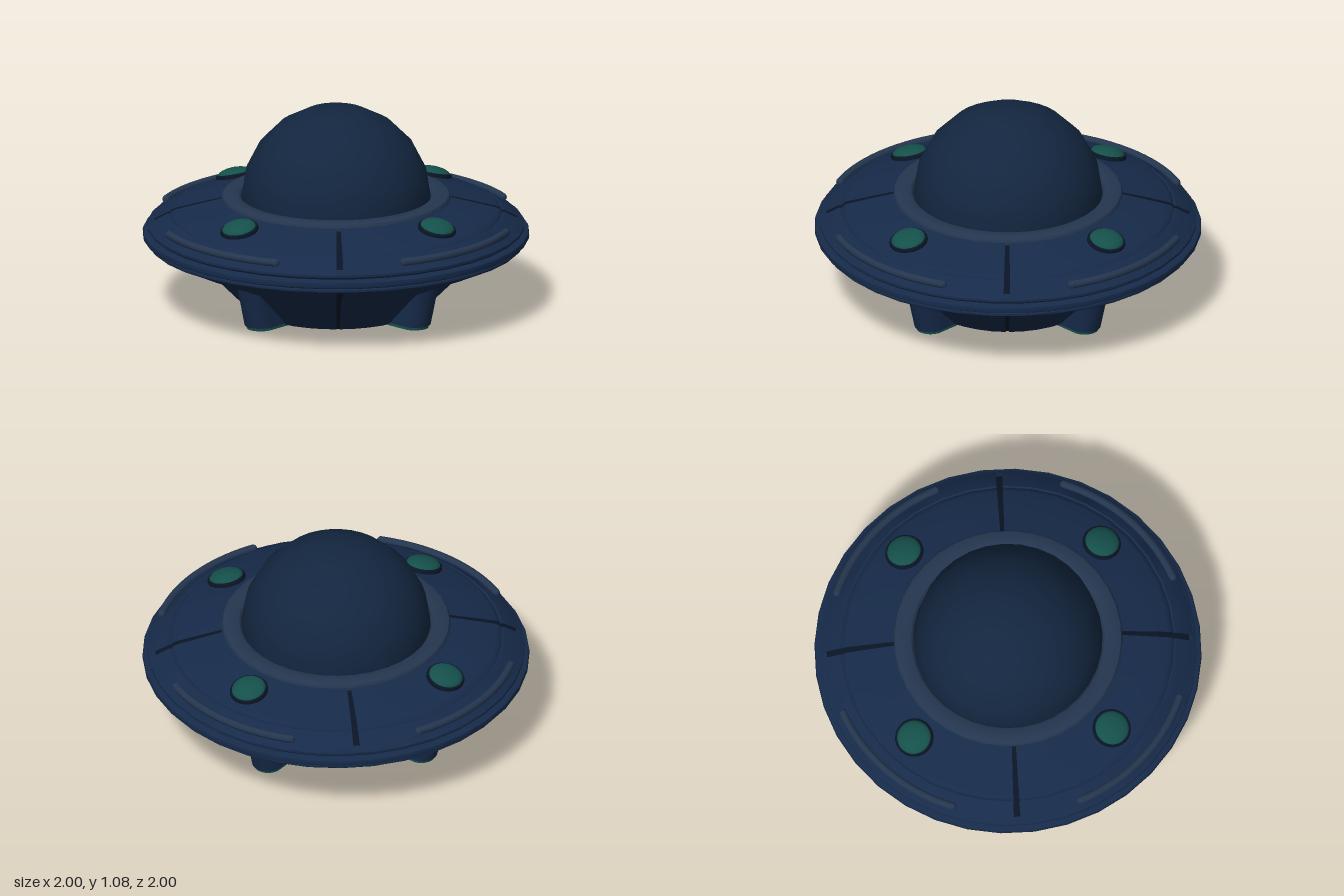
import * as THREE from 'three';
import { toCreasedNormals } from 'three/addons/utils/BufferGeometryUtils.js';

const paint = (color) => new THREE.MeshStandardMaterial({ color });
const hullBlue = paint(0x162a49);
const seamBlue = paint(0x0a1424);
const domeBlue = paint(0x13263f);
const trimBlue = paint(0x24364f);
const teal = paint(0x15504b);
const SEGMENTS = 36;

function addMesh(parent, name, geometry, material) {
  const mesh = new THREE.Mesh(geometry, material);
  mesh.name = name;
  parent.add(mesh);
  return mesh;
}

// Turned surface from [radius, height] points listed bottom to top
function turned(points, start = 0, length = Math.PI * 2, segments = SEGMENTS) {
  const profile = points.map(([r, y]) => new THREE.Vector2(r, y));
  return toCreasedNormals(new THREE.LatheGeometry(profile, segments, start, length), 0.5);
}

// Arc bar with rounded ends, lying around the rim and centred on +x
function rimBarGeometry(radius, tube, halfAngle) {
  const profile = [];
  for (let i = 0; i <= 8; i++) {
    const a = -Math.PI / 2 + (i / 8) * Math.PI;
    profile.push([Math.cos(a) * tube, Math.sin(a) * tube]);
  }
  const arc = new THREE.TorusGeometry(radius, tube, 8, 14, halfAngle * 2);
  arc.rotateZ(-halfAngle).rotateX(Math.PI / 2);
  const ends = [-halfAngle, halfAngle].map((a) =>
    turned(profile, 0, Math.PI * 2, 10).translate(Math.cos(a) * radius, 0, Math.sin(a) * radius));
  return { arc, ends };
}

// Upright slab, rounded on its outer end, leaning outward as it rises
function legGeometry(bottom, top, inset) {
  const w = 0.08 - inset;
  const shape = new THREE.Shape();
  shape.moveTo(0.4, -w);
  shape.lineTo(0.56, -w);
  shape.absarc(0.56, 0, w, -Math.PI / 2, Math.PI / 2, false);
  shape.lineTo(0.4, w);
  shape.closePath();
  const g = new THREE.ExtrudeGeometry(shape, { depth: top - bottom, bevelEnabled: false, curveSegments: 10 });
  g.rotateX(-Math.PI / 2).translate(0, bottom, 0);
  const p = g.attributes.position;
  for (let i = 0; i < p.count; i++) p.setX(i, p.getX(i) + p.getY(i) * 0.26);
  return toCreasedNormals(g, 0.6);
}

export function createModel() {
  const saucer = new THREE.Group();
  saucer.name = 'saucer';

  // Recessed core that shows through the panel seams
  addMesh(saucer, 'hullCore', turned([
    [0.3, 0.008], [0.43, 0.008], [0.445, 0.018], [0.645, 0.222], [0.955, 0.365],
    [0.955, 0.45], [0.92, 0.468], [0.83, 0.518], [0.5, 0.6],
  ]), seamBlue);

  // Four hull quarters with narrow seams at the diagonals
  const seam = 0.036;
  const deck = [[0.965, 0.455], [0.95, 0.472], [0.868, 0.515], [0.858, 0.512], [0.848, 0.526],
    [0.83, 0.535], [0.7, 0.567], [0.57, 0.597]];
  const belly = [[0.44, 0.008], [0.47, 0.025], [0.655, 0.212], [0.672, 0.22], [0.8, 0.28], [0.81, 0.289],
    [0.82, 0.287], [0.965, 0.355]];
  for (let i = 0; i < 4; i++) {
    const start = Math.PI / 4 + i * Math.PI / 2 + seam / 2;
    const length = Math.PI / 2 - seam;
    addMesh(saucer, 'deckPanel', turned(deck, start, length, SEGMENTS / 4), hullBlue);
    addMesh(saucer, 'bellyPanel', turned(belly, start, length, SEGMENTS / 4), hullBlue);
  }

  // Layered rim
  addMesh(saucer, 'lowerRim', turned([
    [0.95, 0.35], [0.965, 0.352], [0.974, 0.36], [0.974, 0.37], [0.965, 0.38], [0.95, 0.382],
  ]), hullBlue);
  addMesh(saucer, 'middleRim', turned([
    [0.95, 0.38], [0.985, 0.381], [0.997, 0.388], [1, 0.402], [0.997, 0.416], [0.985, 0.423], [0.95, 0.425],
  ]), hullBlue);
  addMesh(saucer, 'upperRim', turned([
    [0.95, 0.425], [0.965, 0.428], [0.975, 0.438], [0.975, 0.45], [0.965, 0.46], [0.94, 0.47],
  ]), hullBlue);

  // Dome and collar
  const dome = new THREE.SphereGeometry(0.49, 32, 5, 0, Math.PI * 2, 0, Math.PI / 2);
  addMesh(saucer, 'dome', dome, domeBlue).position.y = 0.59;
  addMesh(saucer, 'collar', turned([
    [0.592, 0.575], [0.592, 0.597], [0.585, 0.61], [0.572, 0.616], [0.515, 0.616], [0.5, 0.61], [0.485, 0.59],
  ]), trimBlue);

  // Bottom hatch
  addMesh(saucer, 'hatchRing', turned([
    [0.305, 0.02], [0.31, 0.004], [0.32, 0], [0.335, 0], [0.345, 0.004], [0.348, 0.02],
  ]), trimBlue);
  addMesh(saucer, 'hatchLight', new THREE.CylinderGeometry(0.315, 0.315, 0.02, SEGMENTS), teal).position.y = 0.017;

  // Leg, deck light and rim bar on each of the four sides
  for (let i = 0; i < 4; i++) {
    const side = new THREE.Group();
    side.name = 'side' + (i + 1);
    side.rotation.y = i * Math.PI / 2;
    saucer.add(side);

    addMesh(side, 'leg', legGeometry(0.025, 0.235, 0), hullBlue);
    addMesh(side, 'footPad', legGeometry(0.008, 0.025, 0.008), teal);

    const light = new THREE.Group();
    light.name = 'deckLight';
    light.position.set(0.72, 0.56, 0);
    light.rotation.z = -0.25;
    side.add(light);
    addMesh(light, 'lightBase', turned([
      [0.1, -0.015], [0.1, 0.01], [0.096, 0.018], [0.086, 0.02],
    ], 0, Math.PI * 2, 24), seamBlue);
    const lens = new THREE.SphereGeometry(0.09, 24, 6, 0, Math.PI * 2, 0, Math.PI / 2).scale(1, 0.38, 1);
    addMesh(light, 'lightLens', lens, teal).position.y = 0.014;

    const bar = rimBarGeometry(0.93, 0.021, 0.42);
    addMesh(side, 'rimBar', bar.arc, trimBlue).position.y = 0.491;
    for (const end of bar.ends) addMesh(side, 'rimBarEnd', end, trimBlue).position.y = 0.491;
  }
  return saucer;
}
